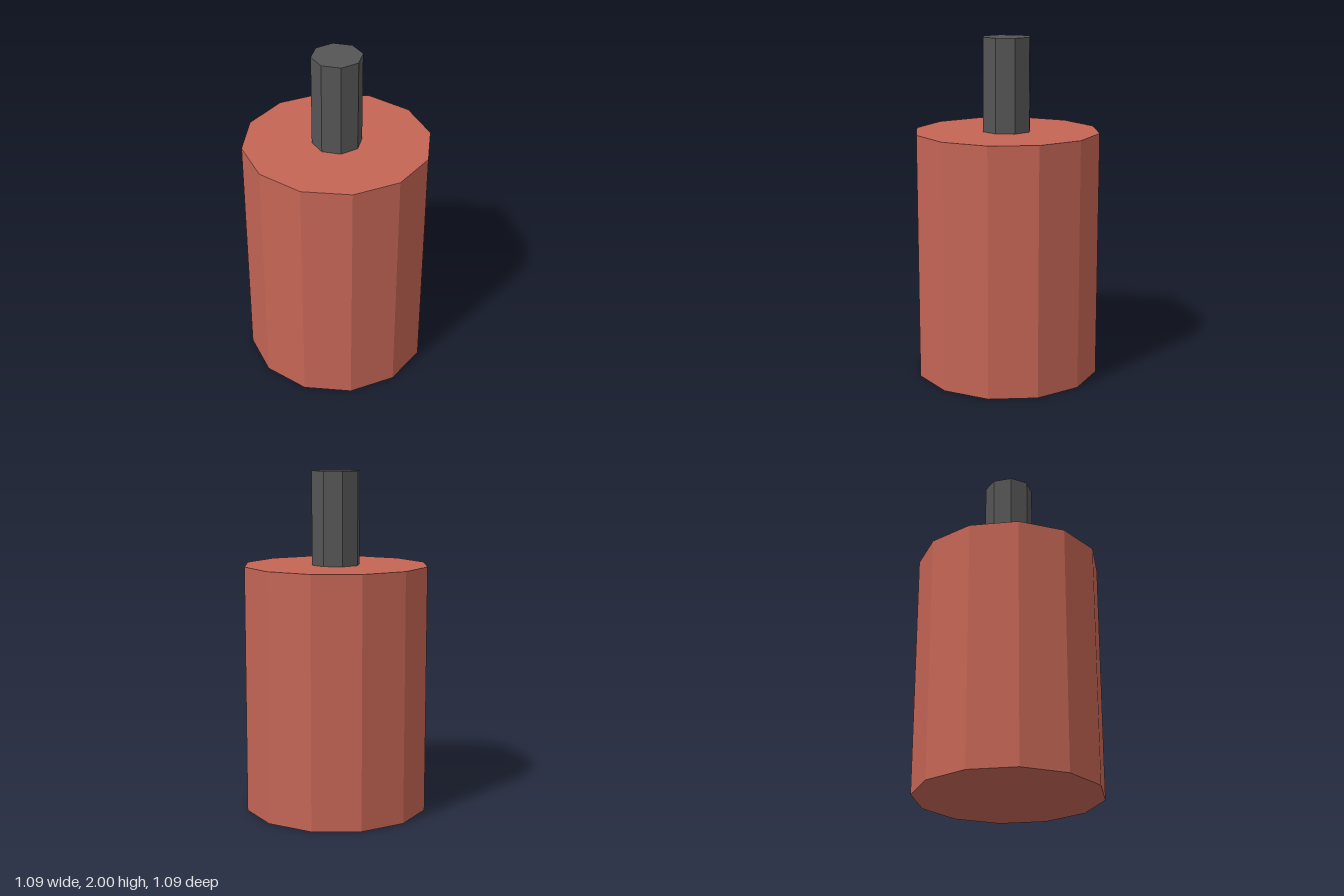
import * as THREE from 'three';

export function createModel() {
  const model = new THREE.Group();
  model.name = 'canister';

  const red = new THREE.MeshStandardMaterial({ color: 0xc46555, flatShading: true });
  red.name = 'brick red';
  const grey = new THREE.MeshStandardMaterial({ color: 0x555555, flatShading: true });
  grey.name = 'dark grey';

  // Upright prism standing on height y
  const prism = (name, radius, height, sides, y, material) => {
    const mesh = new THREE.Mesh(new THREE.CylinderGeometry(radius, radius, height, sides), material);
    mesh.name = name;
    mesh.position.y = y + height / 2;
    model.add(mesh);
  };

  const bodyHeight = 1.455;
  prism('body', 0.545, bodyHeight, 12, 0, red); // twelve-sided drum
  prism('stem', 0.145, 2 - bodyHeight, 8, bodyHeight, grey); // eight-sided post on top

  return model;
}
